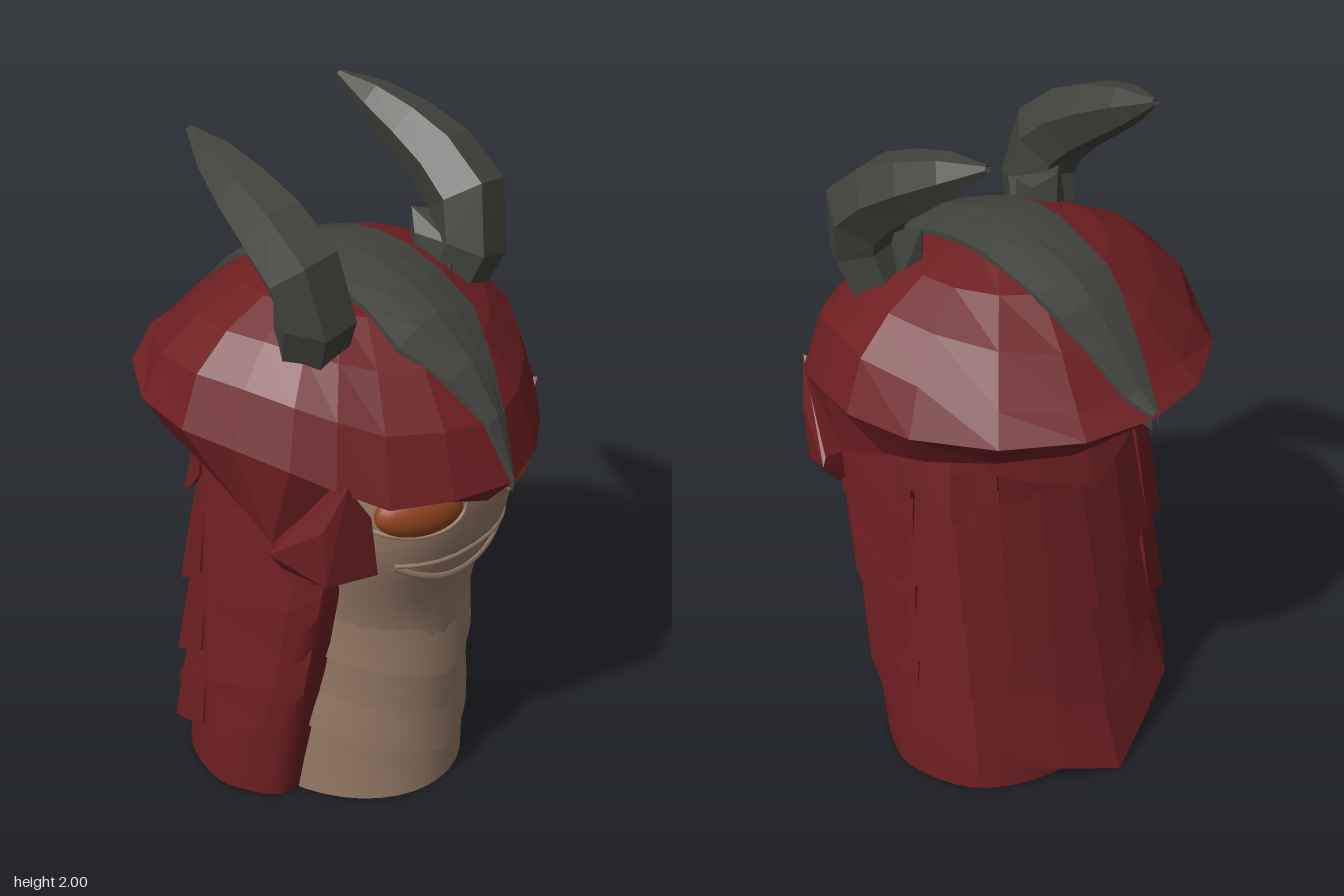
import * as THREE from 'three';
import { toCreasedNormals } from 'three/addons/utils/BufferGeometryUtils.js';
import { ConvexGeometry } from 'three/addons/geometries/ConvexGeometry.js';

const mat = (name, color, double) => {
  const m = new THREE.MeshStandardMaterial({ color });
  m.name = name;
  if (double) m.side = THREE.DoubleSide;
  return m;
};
const lerp = THREE.MathUtils.lerp;

// Surface through rows of [x, y, z] points; crease 0 gives flat facets
function grid(rows, crease = 0) {
  const n = rows[0].length, idx = [];
  for (let r = 0; r < rows.length - 1; r++)
    for (let c = 0; c < n - 1; c++) {
      const a = r * n + c, b = a + 1, d = a + n, e = d + 1;
      idx.push(a, b, d, b, e, d);
    }
  let g = new THREE.BufferGeometry();
  g.setAttribute('position', new THREE.Float32BufferAttribute(rows.flat(2), 3));
  g.setIndex(idx);
  if (crease) return toCreasedNormals(g, crease);
  g = g.toNonIndexed();
  g.computeVertexNormals();
  return g;
}

// Body sections: height, half width, front depth
const BODY = [[0, .325, .39], [.2, .33, .39], [.4, .337, .395], [.6, .34, .39], [.72, .345, .41],
  [.82, .352, .455], [.92, .36, .49], [1.02, .365, .51], [1.12, .36, .51], [1.25, .34, .46]];
function section(y) {
  let i = 0;
  while (i < BODY.length - 2 && BODY[i + 1][0] < y) i++;
  const a = BODY[i], b = BODY[i + 1], t = (y - a[0]) / (b[0] - a[0]);
  return { w: lerp(a[1], b[1], t), f: lerp(a[2], b[2], t), n: 2 + .5 * THREE.MathUtils.smoothstep(y, .6, 1) };
}
function bodyPoint(a, y, out = 0) {
  const { w, f, n } = section(y), s = Math.sin(a), c = Math.cos(a), p = v => Math.sign(v) * Math.abs(v) ** (2 / n);
  return [(w + out) * p(s), y, ((c > 0 ? f : .415 - .15 * y) + out) * p(c)];
}
function faceZ(x, y) {
  const { w, f, n } = section(y);
  return f * (1 - Math.min(1, Math.abs(x / w)) ** n) ** (1 / n);
}

// Cloak surface: u = 0 at the back, +-1 at the front edges
function cloakPoint(u, y, out = 0) {
  const ze = .1 + .19 * Math.min(y, .9), zb = -.43 + .1 * y, w = .455 - .02 * y;
  const keys = [[0, zb], [.22, zb + .03], [.38, zb + .13], [w, -.1], [w - .03, ze - .09], [.38, ze - .02], [.295, ze]];
  const full = [[-.22, zb + .03], ...keys].map(([x, z]) => new THREE.Vector3(x, y, z));
  const p = new THREE.CatmullRomCurve3(full).getPoint((1 + 6 * Math.min(1, Math.abs(u))) / 7);
  const l = Math.hypot(p.x, p.z + .05);
  return [(p.x + out * p.x / l) * (u < 0 ? -1 : 1), y, p.z + out * (p.z + .05) / l];
}
// Overlapping scale with a pointed lower edge; side -1 mirrors it, belly is the lift halfway down
function scale(side, [u0, uTip, u1], yTip, [rise0, rise1], lift, belly) {
  const us = [u0, (u0 + uTip) / 2, uTip, (uTip + u1) / 2, u1];
  const low = u => yTip + (u < uTip ? rise0 * (uTip - u) / (uTip - u0) : rise1 * (u - uTip) / (u1 - uTip));
  const cols = [[u0, true], ...us.map(u => [u, false]), [u1, true]];
  if (side < 0) cols.reverse();
  const top = Math.min(1.24, yTip + .42);
  const share = u => (u === uTip ? 1 : .65);
  return grid([
    cols.map(([u, edge]) => cloakPoint(side * u, top, edge ? -.03 : .003)),
    cols.map(([u, edge]) => cloakPoint(side * u, lerp(low(u), top, .5), edge ? -.03 : belly * share(u))),
    cols.map(([u, edge]) => cloakPoint(side * u, low(u), edge ? -.03 : lift * share(u))),
    cols.map(([u]) => cloakPoint(side * u, low(u) + .03, -.03)),
  ]);
}

// Helmet half outline, front to back: rim x, y, z, lower edge x, y, z, then the two dome curve powers
const RIM = [[0, 1.14, .6, 0, 1.05, .52, 2, .66], [.175, 1.14, .545, .16, 1.095, .47, 2, .62],
  [.325, 1.14, .45, .31, 1.13, .41, 2, .58], [.42, 1.2, .35, .38, 1.19, .32, 2, .56],
  [.49, 1.25, .25, .49, 1, .18, 2, .54], [.54, 1.28, .1, .5, 1.08, .08, 2, .52],
  [.58, 1.3, -.05, .49, 1.15, -.08, 2, .52], [.535, 1.3, -.25, .47, 1.19, -.23, 2.1, .62],
  [.4, 1.3, -.44, .36, 1.21, -.38, 2.5, 1], [.21, 1.3, -.565, .19, 1.22, -.5, 2.8, 1.4],
  [0, 1.3, -.605, 0, 1.25, -.55, 3, 1.6]];
const TOP = 1.64;
const domeHeight = (rimY, s, p, e) => rimY + (TOP - rimY) * Math.max(0, 1 - s ** p) ** e;
function domeY(x, z) {
  for (let i = 0; i < RIM.length - 1; i++) {
    const A = RIM[i], B = RIM[i + 1], [ax, , az] = A, dx = B[0] - ax, dz = B[2] - az;
    const s = (x * dz - z * dx) / (ax * dz - az * dx);
    if (s < 1e-6) continue;
    const t = Math.abs(dx) > Math.abs(dz) ? (x / s - ax) / dx : (z / s - az) / dz;
    if (t >= -1e-4 && t <= 1.0001)
      return domeHeight(lerp(A[1], B[1], t), Math.min(1, s), lerp(A[6], B[6], t), lerp(A[7], B[7], t));
  }
  return TOP;
}

export function createModel() {
  const model = new THREE.Group();
  const red = mat('deep red', 0x6e1f21, true), tan = mat('tan skin', 0x967b67, true);
  const dark = mat('dark horn', 0x42433d, true), orange = mat('orange eye', 0x94461e);
  const add = (name, geo, m) => {
    const mesh = new THREE.Mesh(geo, m);
    mesh.name = name;
    model.add(mesh);
    return mesh;
  };
  const tube = (name, pts, r) =>
    add(name, new THREE.TubeGeometry(new THREE.CatmullRomCurve3(pts), 24, r, 6), tan);
  const hull = (name, s, pts, m) =>
    add(name, new ConvexGeometry(pts.map(p => new THREE.Vector3(s * p[0], p[1], p[2]))), m);

  // Body column with closed base
  const around = Array.from({ length: 41 }, (_, i) => i / 40 * Math.PI * 2);
  add('body', grid([around.map(() => [0, 0, 0]), ...BODY.map(b => around.map(a => bodyPoint(a, b[0])))], .7), tan);

  // Belly plates with a V-shaped lower edge
  const front = Array.from({ length: 25 }, (_, i) => (i - 12) / 10);
  for (const y of [.12, .405]) {
    const row = (up, out) => front.map(a => bodyPoint(a, y + .12 * Math.abs(a) + up, out));
    add('bellyPlate', grid([row(.005, -.01), row(0, .01), row(.08, .006), row(.17, -.003)], .5), tan);
  }

  // Mouth lips
  const lip = (sag, base) => Array.from({ length: 13 }, (_, i) => {
    const x = (i - 6) * .04, y = base - sag * (1 - (x / .24) ** 2);
    return new THREE.Vector3(x, y, faceZ(x, y));
  });
  tube('upperLip', lip(.01, .9), .008);
  tube('lowerLip', lip(.088, .895), .011);

  for (const s of [1, -1]) {
    // Eye and lower lid
    const eye = add('eye', new THREE.SphereGeometry(1, 24, 16), orange);
    eye.scale.set(.13, .072, .055);
    eye.position.set(s * .2, 1.078, .445);
    eye.rotation.set(0, s * .42, s * .08);
    tube('lowerLid', Array.from({ length: 11 }, (_, i) => {
      const a = Math.PI * (1 + i / 10), x = .2 + .126 * Math.cos(a), y = 1.075 + .074 * Math.sin(a);
      return new THREE.Vector3(s * x, y, faceZ(x, y));
    }), .007);

    // Curved horn: six-sided tapering tube
    const path = new THREE.CatmullRomCurve3([[.29, 1.5, .14], [.305, 1.58, .17], [.322, 1.67, .185], [.333, 1.765, .13],
      [.33, 1.845, .015], [.314, 1.92, -.125], [.29, 1.99, -.28]].map(p => new THREE.Vector3(s * p[0], p[1], p[2])));
    const radii = [.1, .11, .112, .103, .085, .058, .01];
    let horn = new THREE.TubeGeometry(path, 6, 1, 6);
    const pos = horn.attributes.position, v = new THREE.Vector3();
    for (let i = 0; i < pos.count; i++) {
      const ring = Math.floor(i / 7), c = path.getPointAt(ring / 6);
      v.fromBufferAttribute(pos, i).sub(c).multiplyScalar(radii[ring]).add(c);
      pos.setXYZ(i, v.x, v.y, v.z);
    }
    horn = horn.toNonIndexed();
    horn.computeVertexNormals();
    add('horn', horn, dark);
    // Block at the inner rear of the horn base
    hull('hornBase', s, [[.2, 1.56, .08], [.2, 1.64, .08], [.245, 1.56, .03], [.245, 1.69, .03], [.3, 1.56, .05],
      [.3, 1.68, .08], [.21, 1.54, .2], [.22, 1.63, .2], [.3, 1.54, .2]], dark);

    // Cheek flap
    hull('cheekFlap', s, [[.405, 1.215, .375], [.335, 1.1, .395], [.3, .9, .39], [.44, .9, .33], [.45, .9, .18],
      [.5, .97, .18], [.45, 1.08, .33], [.32, .9, .2], [.36, 1.18, .25]], red);

    // Side and rear-side scales
    for (const y of [.17, .46, .72, .98])
      add('sideScale', scale(s, [.45, .5, .88], y, [.03, .26], .036, .028), red);
    for (const y of [.09, .36, .63, .95])
      add('rearSideScale', scale(s, [.2, .3, .47], y, [.08, .12], .05, .03), red);
  }

  // Cloak wrapped round the back
  const us = Array.from({ length: 49 }, (_, i) => (24 - i) / 24);
  add('cloak', grid([us.map(u => [cloakPoint(u, 0)[0] * .6, .004, cloakPoint(u, 0)[2] * .6]),
    ...[.002, .3, .6, .9, 1.23].map(y => us.map(u => cloakPoint(u, y)))], .7), red);

  // Pointed scales down the middle of the back
  for (const [y, lift] of [[.005, .11], [.25, .065], [.56, .057], [.97, .067]])
    add('backScale', scale(1, [-.21, 0, .21], y, [.13, .13], lift, lift / 2), red);

  // Helmet underside, lower skirt and dome
  const loop = [...RIM.map(p => [1, p]), ...RIM.slice(0, -1).reverse().map(p => [-1, p])];
  add('helmet', grid([
    loop.map(([m, p]) => [m * p[3] * .6, 1.22, p[5] * .6]),
    loop.map(([m, p]) => [m * p[3], p[4], p[5]]),
    ...[1, .9, .72, .5, .25, 0].map(s =>
      loop.map(([m, p]) => [m * p[0] * s, domeHeight(p[1], s, p[6], p[7]), p[2] * s])),
  ]), red);

  // Raised stripe over the helmet: z, half width
  const stripe = [[.603, .002], [.54, .037], [.45, .088], [.33, .158], [.22, .154], [.1, .152], [0, .149], [-.1, .143],
    [-.29, .127], [-.36, .108], [-.45, .08], [-.54, .046], [-.605, .012]];
  add('helmetStripe', grid(stripe.map(([z, w]) => {
    const edge = domeY(w, z) + .014, half = domeY(w / 2, z) + .016;
    return [[-w, edge - .045, z], [-w, edge, z], [-w / 2, half, z], [0, domeY(0, z) + .017, z],
      [w / 2, half, z], [w, edge, z], [w, edge - .045, z]];
  })), dark);

  return model;
}
